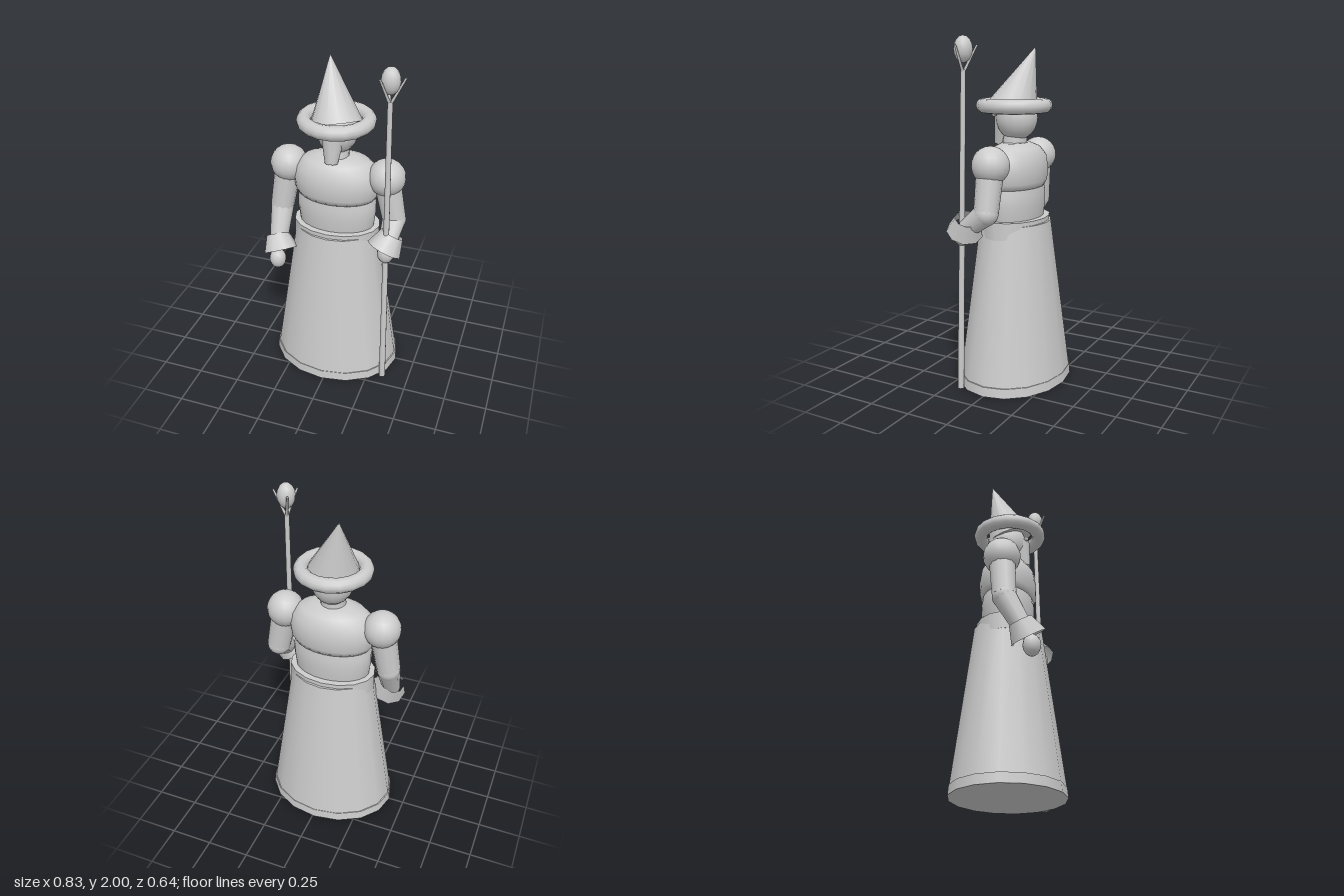
import * as THREE from 'three';

const grey = new THREE.MeshStandardMaterial({ color: 0xcccccc, side: THREE.DoubleSide });
grey.name = 'stone grey';
const CX = -0.012; // body centre line
const V = (x, y, z) => new THREE.Vector3(x, y, z);

export function createModel() {
  const model = new THREE.Group();

  const add = (name, geometry, x = 0, y = 0, z = 0) => {
    const mesh = new THREE.Mesh(geometry, grey);
    mesh.name = name;
    mesh.position.set(x, y, z);
    model.add(mesh);
    return mesh;
  };
  // Tapered round bar from point a to point b
  const bar = (name, a, b, ra, rb, sides = 12, open = false) => {
    const dir = b.clone().sub(a);
    const mesh = add(name, new THREE.CylinderGeometry(rb, ra, dir.length(), sides, 1, open));
    mesh.position.copy(a).addScaledVector(dir, 0.5);
    mesh.quaternion.setFromUnitVectors(V(0, 1, 0), dir.normalize());
    return mesh;
  };
  const ball = (name, p, rx, ry = rx, rz = rx, w = 16, h = 12) => {
    const mesh = add(name, new THREE.SphereGeometry(1, w, h), p.x, p.y, p.z);
    mesh.scale.set(rx, ry, rz);
    return mesh;
  };
  // Oval upright drum, closed at both ends
  const drum = (name, y0, y1, r0, r1, depth) => {
    const mesh = add(name, new THREE.CylinderGeometry(r1, r0, y1 - y0, 16), CX, (y0 + y1) / 2, 0);
    mesh.scale.z = depth;
  };
  const turned = (name, profile, depth) => {
    const points = profile.map(([r, y]) => new THREE.Vector2(r, y));
    add(name, new THREE.LatheGeometry(points, 24), CX).scale.z = depth;
  };

  // Robe
  drum('hem', 0, 0.055, 0.396, 0.39, 0.805);
  drum('skirt', 0.02, 0.955, 0.388, 0.243, 0.815);
  drum('belt', 0.88, 0.98, 0.256, 0.256, 0.72);

  // Torso
  turned('waist', [[0.2, 0.9], [0.222, 0.98], [0.232, 1.06], [0.232, 1.12], [0.215, 1.2]], 0.66);
  turned('chest', [[0, 1.15], [0.225, 1.156], [0.247, 1.19], [0.255, 1.26], [0.24, 1.33],
    [0.19, 1.38], [0.11, 1.408], [0, 1.41]], 0.66);

  // Head
  bar('neck', V(CX, 1.37, 0.01), V(CX, 1.47, 0), 0.075, 0.065, 16);
  ball('head', V(CX, 1.55, -0.005), 0.118, 0.13, 0.122);
  bar('beard', V(CX, 1.395, 0.1), V(CX, 1.55, 0.065), 0.036, 0.068, 12);
  for (const s of [-1, 1]) ball('eye', V(CX + s * 0.044, 1.567, 0.117), 0.014, 0.014, 0.014, 10, 8);

  // Hat with a leaning point
  const brim = add('hatBrim', new THREE.TorusGeometry(0.178, 0.041, 12, 18), CX, 1.617, 0.01);
  brim.rotation.x = Math.PI / 2;
  bar('hatCone', V(CX, 1.605, 0.014), V(-0.08, 1.945, -0.09), 0.145, 0, 14);

  // Arms, each with its own pose
  const arms = [
    { s: -1, elbow: V(-0.345, 1.03, 0.02), wrist: V(-0.338, 0.81, 0.135), hand: V(-0.33, 0.74, 0.165), cuff: V(-0.318, 0.79, 0.145) },
    { s: 1, elbow: V(0.33, 1.05, 0.0), wrist: V(0.325, 0.95, 0.13), hand: V(0.328, 0.915, 0.158), cuff: V(0.315, 0.93, 0.148) },
  ];
  for (const { s, elbow, wrist, hand, cuff } of arms) {
    const shoulder = V(CX + s * 0.29, 1.307, 0);
    const side = s > 0 ? 'left' : 'right';
    ball(side + 'Shoulder', shoulder, 0.107);
    bar(side + 'UpperArm', shoulder, elbow, 0.078, 0.069);
    ball(side + 'Elbow', elbow, 0.069);
    bar(side + 'Forearm', elbow, wrist, 0.069, 0.052);
    bar(side + 'Cuff', cuff, cuff.clone().add(V(s * 0.035, 0.085, -0.04)), 0.104, 0.068, 9, true);
    ball(side + 'Hand', hand, 0.05, 0.062, 0.05, 12, 8);
  }

  // Staff with an orb held by three prongs
  const top = V(0.316, 1.82, 0.143);
  bar('staffPole', V(0.34, 0, 0.173), top, 0.019, 0.014, 10);
  ball('staffOrb', V(0.315, 1.927, 0.142), 0.052, 0.073, 0.052, 12, 8);
  for (let i = 0; i < 3; i++) {
    const a = i * Math.PI * 2 / 3;
    bar('staffProng', V(top.x, 1.8, top.z),
      V(top.x + Math.cos(a) * 0.076, 1.95, top.z + Math.sin(a) * 0.076), 0.009, 0.006, 6);
  }
  return model;
}
